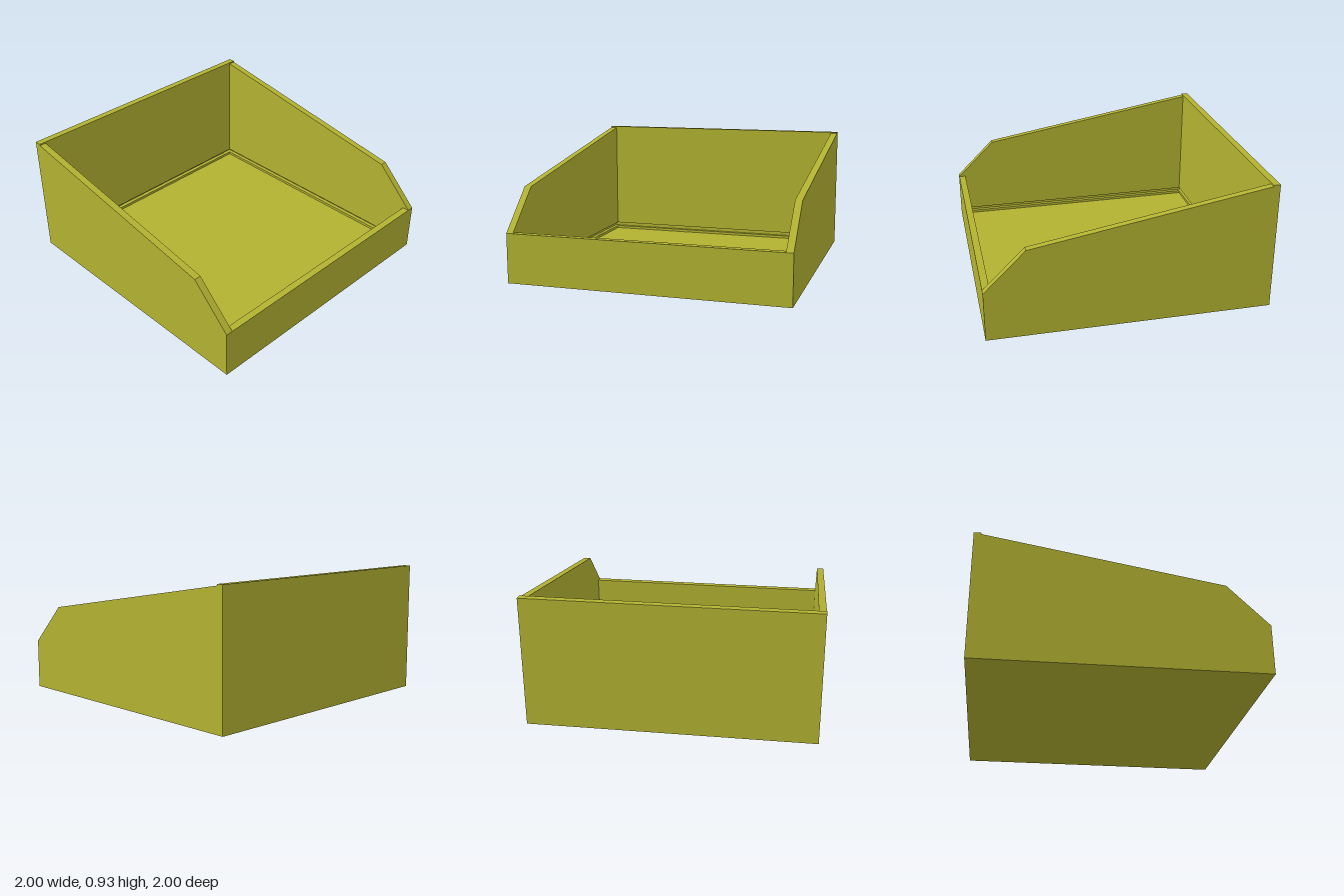
import * as THREE from 'three';

const WALL = 0.05;        // wall thickness
const SILL = 0.03;        // top of the sill, bottom of the groove
const GROOVE = 0.06;      // top of the groove
const SKIN = 0.02;        // wall left behind the groove
const FRONT = 0.355, BACK = 0.93;

export function createModel() {
  const model = new THREE.Group();
  const material = new THREE.MeshStandardMaterial({ color: 0xb2b232, flatShading: true });

  const add = (name, geometry, x = 0, y = 0, z = 0) => {
    const mesh = new THREE.Mesh(geometry, material);
    mesh.name = name;
    mesh.position.set(x, y, z);
    model.add(mesh);
    return mesh;
  };

  // Square frame around the footprint, from y0 to y1
  const frame = (name, thickness, y0, y1) => {
    const square = (h) => [[-h, -h], [h, -h], [h, h], [-h, h]].map((p) => new THREE.Vector2(...p));
    const shape = new THREE.Shape(square(1));
    shape.holes.push(new THREE.Path(square(1 - thickness).reverse()));
    const geometry = new THREE.ExtrudeGeometry(shape, { depth: y1 - y0, bevelEnabled: false });
    geometry.rotateX(-Math.PI / 2);
    add(name, geometry, 0, y0);
  };

  // Floor panel, sill and the groove running around the inside
  add('floor', new THREE.BoxGeometry(2 - 2 * WALL, 0.01, 2 - 2 * WALL), 0, 0.005);
  frame('sill', WALL, 0, SILL);
  frame('grooveBack', SKIN, SILL, GROOVE);

  // Sloping side walls with a cut-off corner at the low end
  const profile = new THREE.Shape([
    [-1 + WALL, GROOVE], [1, GROOVE], [1, FRONT], [0.71, 0.64], [-1 + WALL, 0.92],
  ].map((p) => new THREE.Vector2(...p)));
  const side = new THREE.ExtrudeGeometry(profile, { depth: WALL, bevelEnabled: false });
  add('sideWallFront', side, 0, 0, 1 - WALL);
  add('sideWallBack', side, 0, 0, -1);

  // Tall and low end walls
  const tall = BACK - GROOVE, low = FRONT - GROOVE;
  add('tallEndWall', new THREE.BoxGeometry(WALL, tall, 2), -1 + WALL / 2, GROOVE + tall / 2);
  add('lowEndWall', new THREE.BoxGeometry(WALL, low, 2 - 2 * WALL), 1 - WALL / 2, GROOVE + low / 2);

  return model;
}
